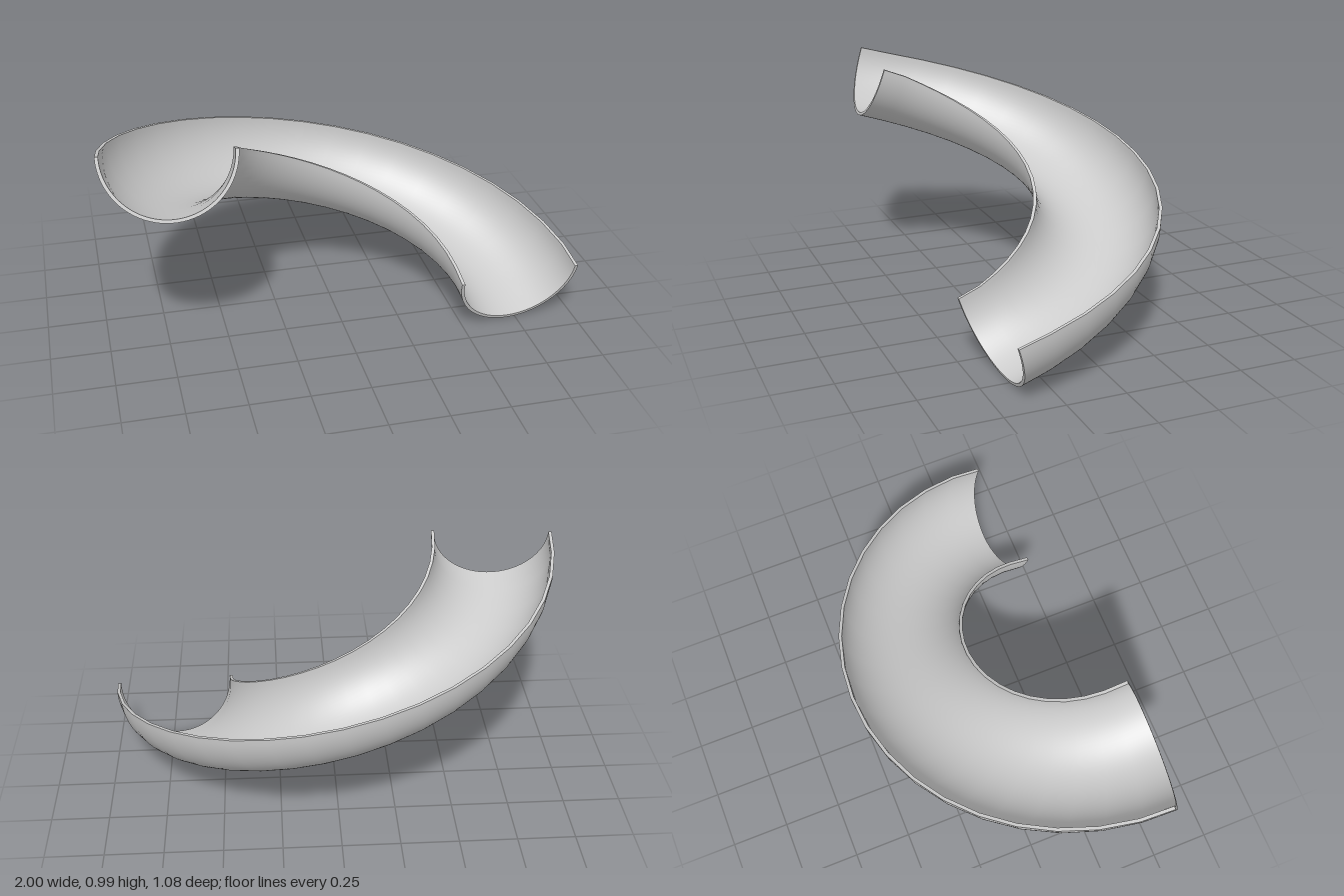
import * as THREE from 'three';

const R = 0.73, RISE = 0.73, Z0 = 0.46, Y0 = 0.257; // helix centre line
const OUT = 0.27, IN = 0.256; // shell radii
const STEPS = 20, ARC = 40;

const helix = (i) => {
  const t = (Math.PI * i) / STEPS;
  return new THREE.Vector3(R * Math.cos(t), Y0 + (RISE * i) / STEPS, Z0 - R * Math.sin(t));
};

// Frame of each cross-section: level sideways axis, and an up axis square to the path
const frames = Array.from({ length: STEPS + 1 }, (_, i) => {
  const tangent = helix(Math.min(i + 1, STEPS)).sub(helix(Math.max(i - 1, 0))).normalize();
  const side = new THREE.Vector3(-tangent.z, 0, tangent.x).normalize();
  return { pos: helix(i), side, up: side.clone().cross(tangent) };
});

// Point on section i, j steps round the half circle from the outer rim
function point(i, j, r) {
  const a = (Math.PI * j) / ARC, f = frames[i];
  return f.pos.clone()
    .addScaledVector(f.side, r * Math.cos(a))
    .addScaledVector(f.up, -r * Math.sin(a));
}

// Smooth grid of nu x nv cells through fn(i, j)
function sheet(name, nu, nv, fn) {
  const pos = [], index = [];
  for (let i = 0; i <= nu; i++) {
    for (let j = 0; j <= nv; j++) {
      pos.push(...fn(i, j).toArray());
      if (i < nu && j < nv) {
        const a = i * (nv + 1) + j, b = a + nv + 1;
        index.push(a, a + 1, b, a + 1, b + 1, b);
      }
    }
  }
  const g = new THREE.BufferGeometry();
  g.setAttribute('position', new THREE.Float32BufferAttribute(pos, 3));
  g.setIndex(index);
  g.computeVertexNormals();
  const mesh = new THREE.Mesh(g, new THREE.MeshStandardMaterial({ color: 0xcccccc }));
  mesh.name = name;
  return mesh;
}

export function createModel() {
  const group = new THREE.Group();
  group.name = 'spiralChute';
  const radius = (k) => (k ? OUT : IN);
  group.add(
    // Trough walls
    sheet('outerWall', STEPS, ARC, (i, j) => point(i, j, OUT)),
    sheet('innerWall', STEPS, ARC, (i, j) => point(i, ARC - j, IN)),
    // Rims along the top
    sheet('outsideRim', STEPS, 1, (i, k) => point(i, 0, radius(k))),
    sheet('insideRim', STEPS, 1, (i, k) => point(i, ARC, radius(1 - k))),
    // End faces of the shell
    sheet('lowerEnd', ARC, 1, (j, k) => point(0, j, radius(1 - k))),
    sheet('upperEnd', ARC, 1, (j, k) => point(STEPS, j, radius(k))),
  );
  return group;
}
